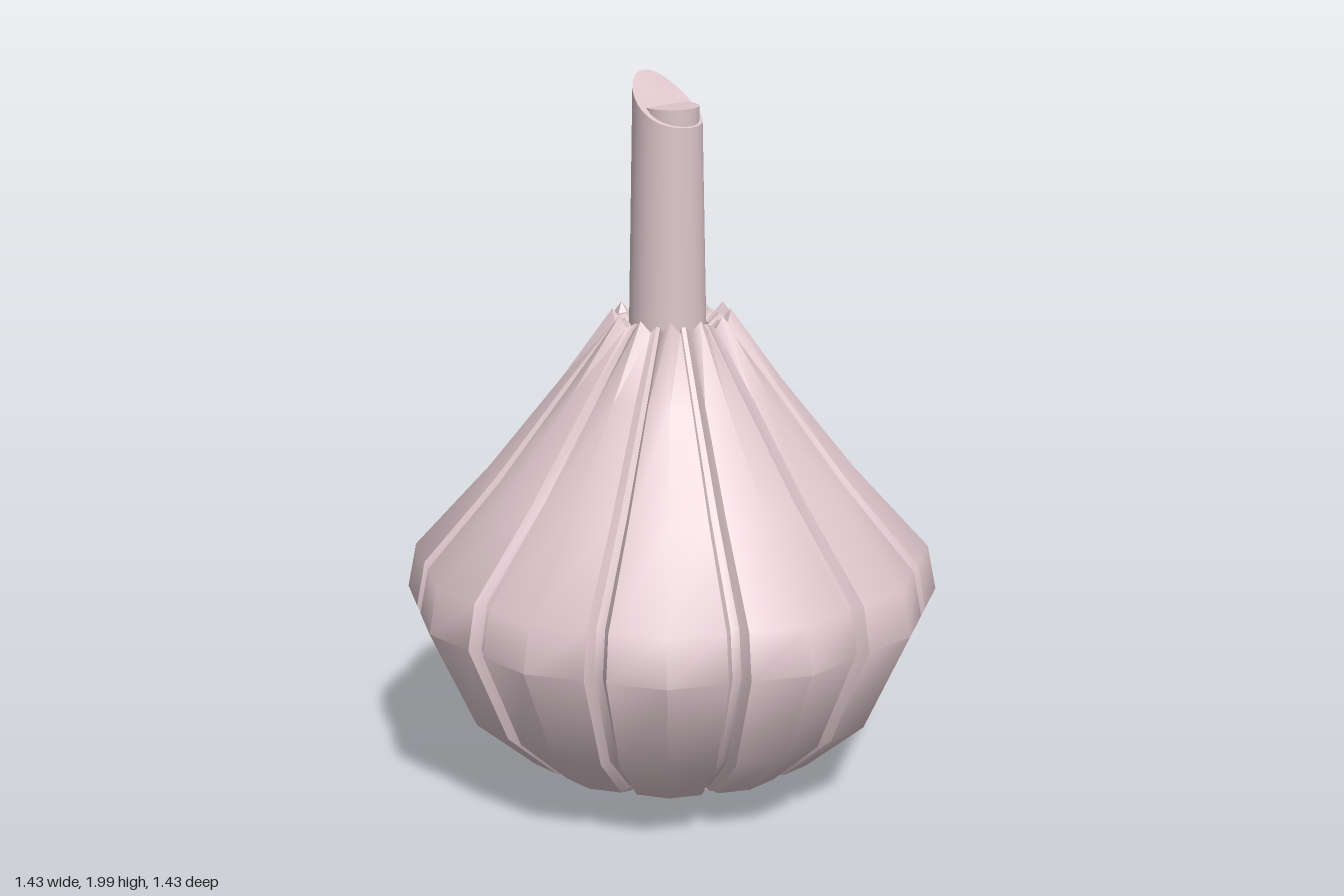
import * as THREE from 'three';
import { toCreasedNormals } from 'three/addons/utils/BufferGeometryUtils.js';

const CLOVES = 12;
const STEP = (Math.PI * 2) / CLOVES;

// Bulb outline from root to neck: [radius, y at clove centre, y at clove edge, y at groove]
const ROWS = [
  [0.15, 0.05, 0.06, 0.07],
  [0.215, 0.015, 0.05, 0.075],
  [0.42, 0.106, 0.106, 0.115],
  [0.587, 0.26, 0.26, 0.26],
  [0.714, 0.55, 0.55, 0.55],
  [0.69, 0.675, 0.675, 0.675],
  [0.487, 0.905, 0.905, 0.905],
  [0.29, 1.16, 1.16, 1.16],
  [0.155, 1.355, 1.325, 1.335],
  [0.115, 1.3, 1.3, 1.3],
];

// One ring of points: groove floor, clove edge, clove centre, clove edge, groove floor
function ring([r, yCentre, yEdge, yGroove]) {
  const points = [];
  const width = 0.01 + 0.02 * (r / 0.714);
  const add = (angle, radius, side, y) => points.push(
    Math.cos(angle) * radius - Math.sin(angle) * side, y,
    Math.sin(angle) * radius + Math.cos(angle) * side);
  for (let i = 0; i < CLOVES; i++) {
    const a = i * STEP, b = a + STEP;
    const floor = r - Math.min(0.03, r * 0.16);
    add(a, floor, width * 0.4, yGroove);
    add(a, r, width, yEdge);
    add(a + STEP / 2, r / Math.cos(STEP / 2), 0, yCentre);
    add(b, r, -width, yEdge);
    add(b, floor, -width * 0.4, yGroove);
  }
  return points;
}

function bulbGeometry() {
  const n = CLOVES * 5;
  const index = [];
  for (let j = 0; j < ROWS.length - 1; j++) {
    for (let i = 0; i < n; i++) {
      const a = j * n + i, b = j * n + (i + 1) % n;
      index.push(a, a + n, b, b, a + n, b + n);
    }
  }
  const geometry = new THREE.BufferGeometry();
  geometry.setAttribute('position', new THREE.Float32BufferAttribute(ROWS.flatMap(ring), 3));
  geometry.setIndex(index);
  return toCreasedNormals(geometry, 0.75);
}

// Tapered stem whose top is cut on a curved slant, high at the back
function stemGeometry() {
  const geometry = new THREE.CylinderGeometry(0.093, 0.107, 0.8, 32, 1);
  geometry.translate(0, 1.6, 0);
  const p = geometry.attributes.position;
  for (let i = 0; i < p.count; i++) {
    const z = p.getZ(i);
    if (p.getY(i) > 1.9) p.setY(i, 1.905 - 0.71 * z + 2.6 * z * z);
  }
  return toCreasedNormals(geometry, 0.6);
}

export function createModel() {
  const group = new THREE.Group();
  const skin = new THREE.MeshStandardMaterial({ color: 0xdcc5cb, side: THREE.DoubleSide });
  skin.name = 'pale pink skin';

  const add = (name, geometry, x, y, z) => {
    const mesh = new THREE.Mesh(geometry, skin);
    mesh.name = name;
    mesh.position.set(x, y, z);
    group.add(mesh);
    return mesh;
  };

  add('cloves', bulbGeometry(), 0, 0, 0);
  add('stem', stemGeometry(), -0.01, 0, -0.005);
  // Flat core showing in the low front of the slanted cut
  add('stemCore', new THREE.CylinderGeometry(0.075, 0.075, 0.1, 24), -0.01, 1.86, 0.008);
  // Root plate, tipped slightly towards the front
  const root = add('rootPlate', new THREE.CylinderGeometry(0.14, 0.185, 0.04, 32), -0.005, 0.031, 0);
  root.rotation.set(0.035, 0, 0.03);

  return group;
}
